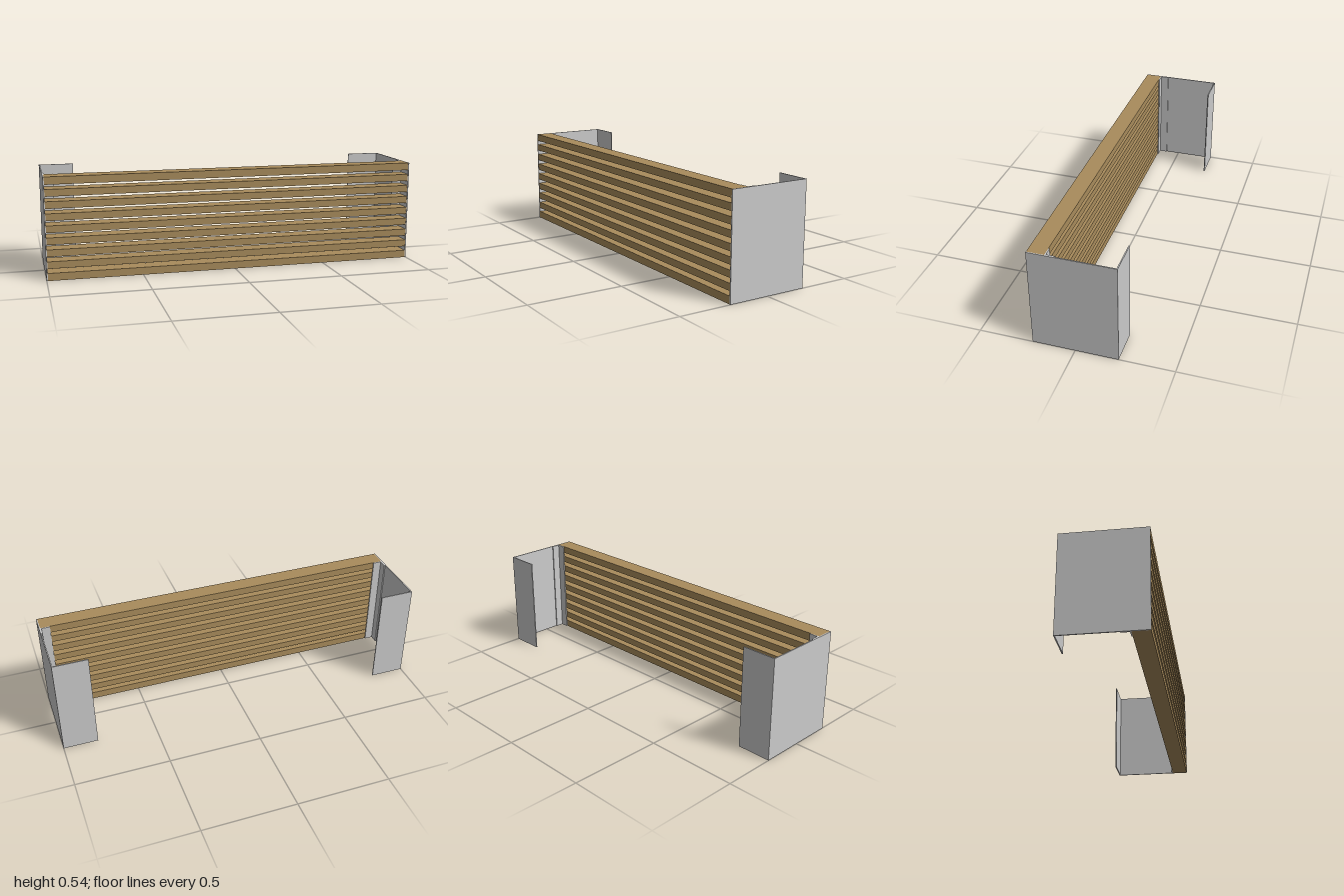
import * as THREE from 'three';

const HEIGHT = 0.54, DEPTH = 0.44, SHEET = 0.006, SLATS = 9;

export function createModel() {
  const model = new THREE.Group();
  model.name = 'slattedPanel';
  const wood = new THREE.MeshStandardMaterial({ color: 0xa98c5c });
  const metal = new THREE.MeshStandardMaterial({ color: 0xcccccc });

  // Box given by its extents on each axis
  const addBox = (parent, name, material, [x0, x1], [y0, y1], [z0, z1]) => {
    const mesh = new THREE.Mesh(new THREE.BoxGeometry(x1 - x0, y1 - y0, z1 - z0), material);
    mesh.position.set((x0 + x1) / 2, (y0 + y1) / 2, (z0 + z1) / 2);
    mesh.name = name;
    parent.add(mesh);
  };

  // Sheet bent along a path of [x, z] points, offset to the inside, extruded upward
  const addSheet = (parent, name, outline) => {
    const shape = new THREE.Shape(outline.map(([x, z]) => new THREE.Vector2(x, -z)));
    const geometry = new THREE.ExtrudeGeometry(shape, { depth: HEIGHT, bevelEnabled: false });
    geometry.rotateX(-Math.PI / 2);
    const mesh = new THREE.Mesh(geometry, metal);
    mesh.name = name;
    parent.add(mesh);
  };

  // Horizontal slats, the top and bottom ones slightly taller
  const inner = 1 - SHEET, back = 0.13, front = DEPTH / 2 - 0.001;
  for (let i = 0; i < SLATS; i++) {
    const end = i === 0 || i === SLATS - 1;
    const h = end ? 0.04 : 0.037;
    const y = 0.02 + (i * (HEIGHT - 0.04)) / (SLATS - 1);
    addBox(model, 'slat', wood, [-inner, inner], [y - h / 2, y + h / 2], [back, front]);
  }

  // End panels with a rear return flange, and the angle fixing the slats to them
  for (const side of [1, -1]) {
    const end = new THREE.Group();
    end.name = side > 0 ? 'leftEnd' : 'rightEnd';
    const mirror = (points) => points.map(([x, z]) => [x * side, z]);
    const d = DEPTH / 2;
    addSheet(end, 'endPanel', mirror([
      [1, d], [1, -d], [0.815, -d], [0.815, -d + SHEET], [inner, -d + SHEET], [inner, d],
    ]));
    addSheet(end, 'fixingAngle', mirror([
      [inner, back], [inner, 0.08], [inner - SHEET, 0.08],
      [inner - SHEET, back - SHEET], [0.943, back - SHEET], [0.943, back],
    ]));
    model.add(end);
  }
  return model;
}
